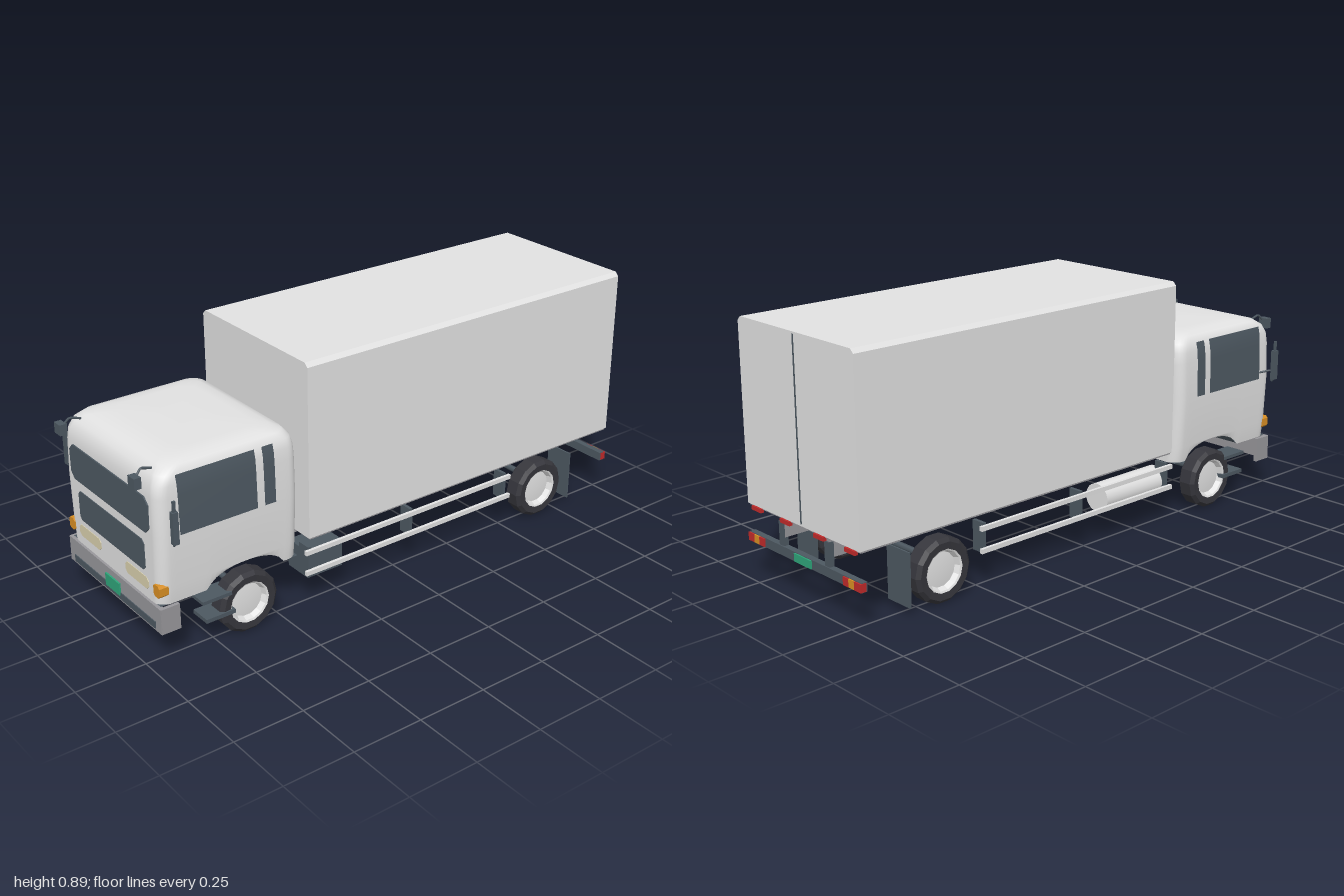
import * as THREE from 'three';
import { toCreasedNormals } from 'three/addons/utils/BufferGeometryUtils.js';

const mat = (name, color, side = THREE.FrontSide) => new THREE.MeshStandardMaterial({ name, color, side });

export function createModel() {
  const white = mat('white paint', 0xe2e2e2);
  const grey = mat('frame grey', 0x98979b);
  const dark = mat('dark slate', 0x4d5861, THREE.DoubleSide);
  const rubber = mat('rubber', 0x36363c);
  const amber = mat('amber', 0xd98f24);
  const red = mat('red', 0xc02a2a);
  const green = mat('green', 0x2fa57a);
  const cream = mat('headlight cream', 0xd9d0ae);

  const truck = new THREE.Group();
  truck.name = 'boxTruck';
  const add = (name, geo, material, x = 0, y = 0, z = 0) => {
    const m = new THREE.Mesh(geo, material);
    m.name = name;
    m.position.set(x, y, z);
    truck.add(m);
    return m;
  };
  // box given by its extents
  const box = (name, material, x0, x1, y0, y1, z0, z1) =>
    add(name, new THREE.BoxGeometry(Math.abs(x1 - x0), y1 - y0, z1 - z0), material, (x0 + x1) / 2, (y0 + y1) / 2, (z0 + z1) / 2);
  // extruded rectangle with cut corners
  const chamfered = (w, h, c, depth, cBottom = c) => {
    const a = w / 2, b = h / 2;
    const pts = [[-a + cBottom, -b], [a - cBottom, -b], [a, -b + cBottom], [a, b - c], [a - c, b], [-a + c, b], [-a, b - c], [-a, -b + cBottom]];
    const shape = new THREE.Shape(pts.map(p => new THREE.Vector2(...p)));
    return new THREE.ExtrudeGeometry(shape, { depth, bevelEnabled: false });
  };
  const rod = (name, material, r, ...pts) => {
    const path = new THREE.CurvePath();
    const v = pts.map(p => new THREE.Vector3(...p));
    for (let i = 1; i < v.length; i++) path.add(new THREE.LineCurve3(v[i - 1], v[i]));
    return add(name, new THREE.TubeGeometry(path, (v.length - 1) * 4, r, 6), material);
  };

  // ---- Cab: rounded rectangles stacked in y [y, half width, front z, back z, corner radius]
  const levels = [
    [0.21, 0.284, 0.955, 0.43, 0.04], [0.27, 0.292, 0.955, 0.43, 0.04], [0.45, 0.3, 0.955, 0.43, 0.04],
    [0.58, 0.296, 0.953, 0.43, 0.04], [0.62, 0.293, 0.947, 0.432, 0.04], [0.65, 0.286, 0.932, 0.437, 0.045],
    [0.67, 0.268, 0.905, 0.452, 0.05], [0.68, 0.24, 0.87, 0.48, 0.06], [0.685, 0.2, 0.82, 0.52, 0.06],
  ];
  const arch = z => 0.21 + 0.055 * Math.sqrt(Math.max(0, 1 - ((z - 0.635) / 0.14) ** 2));
  const ring = ([y, hw, zf, zb, r], first) => {
    const out = [];
    const corner = (cx, cz, start) => {
      for (let k = 0; k <= 6; k++) {
        const a = start + (k / 6) * Math.PI / 2;
        out.push([cx + r * Math.cos(a), cz - r * Math.sin(a)]);
      }
    };
    const side = (x, z0, z1) => {
      for (let k = 1; k < 24; k++) out.push([x, z0 + (z1 - z0) * k / 24]);
    };
    corner(hw - r, zb + r, 0);
    corner(-hw + r, zb + r, Math.PI / 2);
    side(-hw, zb + r, zf - r);
    corner(-hw + r, zf - r, Math.PI);
    corner(hw - r, zf - r, Math.PI * 1.5);
    side(hw, zf - r, zb + r);
    return out.map(([x, z]) => [x, first ? arch(z) : y, z]);
  };
  const rings = levels.map((l, i) => ring(l, i === 0));
  const n = rings[0].length;
  const index = [];
  for (let j = 0; j < n; j++) {
    const k = (j + 1) % n;
    for (let i = 0; i < levels.length - 1; i++) {
      const a = i * n + j, b = i * n + k;
      index.push(a, b, b + n, a, b + n, a + n);
    }
    const top = (levels.length - 1) * n;
    index.push(top + j, top + k, top + n);
  }
  const cabGeo = new THREE.BufferGeometry();
  cabGeo.setAttribute('position', new THREE.Float32BufferAttribute([...rings.flat(2), 0, 0.688, 0.67], 3));
  cabGeo.setIndex(index);
  cabGeo.computeVertexNormals();
  add('cabBody', cabGeo, white);

  // dark floor of the cab, arched over the front wheels
  const floor = new THREE.PlaneGeometry(0.565, 0.52, 1, 32).rotateX(Math.PI / 2).translate(0, 0, 0.692);
  const fp = floor.attributes.position;
  for (let i = 0; i < fp.count; i++) fp.setY(i, arch(fp.getZ(i)) + 0.001);
  floor.computeVertexNormals();
  add('cabUnderside', floor, dark);

  // front face details
  add('windscreen', chamfered(0.495, 0.125, 0.022, 0.005), dark, 0, 0.513, 0.953);
  add('frontGrille', chamfered(0.418, 0.108, 0.012, 0.005), dark, 0, 0.362, 0.953);

  // front bumper: face and returning ends
  box('frontBumper', grey, -0.296, 0.296, 0.118, 0.208, 0.945, 0.962);
  box('bumperSlot', dark, -0.262, 0.262, 0.126, 0.151, 0.96, 0.965);
  box('frontPlate', green, -0.045, 0.045, 0.14, 0.185, 0.96, 0.968);

  // ---- Cargo box
  add('cargoBox', chamfered(0.6, 0.622, 0.014, 1.39, 0.001), white, 0, 0.578, -0.995);
  box('cargoFloor', grey, -0.296, 0.296, 0.261, 0.268, -0.99, 0.39);
  box('rearDoorSeam', dark, -0.002, 0.002, 0.275, 0.882, -0.998, -0.994);

  // ---- Wheels
  const lathe = pts => toCreasedNormals(
    new THREE.LatheGeometry(pts.map(p => new THREE.Vector2(...p)), 14).rotateZ(-Math.PI / 2), 0.3);
  const tyre = lathe([[0.074, -0.034], [0.098, -0.036], [0.111, -0.024], [0.111, 0.024], [0.098, 0.036], [0.074, 0.034]]);
  const rim = lathe([[0, -0.018], [0.06, -0.012], [0.068, -0.03], [0.077, -0.034], [0.077, 0.034], [0.068, 0.03], [0.06, 0.012], [0, 0.018]]);
  for (const z of [0.63, -0.665]) rod('axle', dark, 0.011, [-0.25, 0.135, z], [0.25, 0.135, z]);

  // ---- Mirrored parts
  for (const s of [-1, 1]) {
    for (const z of [0.63, -0.665]) {
      add('tyre', tyre, rubber, s * 0.259, 0.111, z);
      add('wheelRim', rim, white, s * 0.259, 0.111, z);
    }
    // side windows bent to the cab wall
    for (const [name, z0, z1] of [['doorWindow', 0.595, 0.88], ['quarterWindow', 0.525, 0.567]]) {
      const g = new THREE.PlaneGeometry(z1 - z0, 1, 1, 3).rotateY(s * Math.PI / 2).translate(0, 0, (z0 + z1) / 2);
      const rows = [levels[5], levels[4], levels[3], levels[2]];
      const p = g.attributes.position;
      for (let i = 0; i < p.count; i++) {
        const [y, hw] = rows[i >> 1];
        p.setXYZ(i, s * (hw + 0.003), y, p.getZ(i));
      }
      g.computeVertexNormals();
      add(name, g, dark);
    }
    // lamps and bumper ends
    add('headlight', chamfered(0.144, 0.043, 0.012, 0.004), cream, s * 0.151, 0.265, 0.953);
    add('cornerLamp', chamfered(0.036, 0.043, 0.008, 0.034), amber, s * 0.273, 0.265, 0.925);
    box('bumperEnd', grey, s * 0.284, s * 0.297, 0.118, 0.208, 0.892, 0.96);

    // door mirrors
    box('doorMirror', dark, s * 0.331, s * 0.349, 0.45, 0.56, 0.91, 0.93);
    box('doorMirrorStem', dark, s * 0.337, s * 0.344, 0.55, 0.596, 0.915, 0.925);
    rod('doorMirrorArm', dark, 0.004, [s * 0.295, 0.472, 0.885], [s * 0.335, 0.485, 0.915], [s * 0.328, 0.437, 0.92], [s * 0.345, 0.455, 0.92]);
    // roof-edge mirrors
    box('frontMirror', dark, s * 0.216, s * 0.254, 0.62, 0.658, 0.975, 1.0);
    rod('frontMirrorArm', dark, 0.004, [s * 0.222, 0.66, 0.92], [s * 0.224, 0.672, 0.96], [s * 0.23, 0.65, 0.98]);

    // cab steps
    box('upperStep', dark, s * 0.22, s * 0.298, 0.168, 0.18, 0.7, 0.81);
    box('lowerStep', dark, s * 0.22, s * 0.3, 0.098, 0.112, 0.69, 0.8);

    // chassis rail and side guards
    box('chassisRail', grey, s * 0.108, s * 0.132, 0.197, 0.263, -0.985, 0.51);
    box('upperGuardRail', white, s * 0.285, s * 0.297, 0.203, 0.219, -0.51, 0.405);
    box('lowerGuardRail', white, s * 0.285, s * 0.297, 0.126, 0.142, -0.51, 0.405);
    for (const z of [0.385, -0.05, -0.49]) box('guardPost', dark, s * 0.235, s * 0.286, 0.122, 0.226, z - 0.006, z + 0.006);

    // mud flap, rear bar post and lamps
    box('mudFlap', dark, s * 0.19, s * 0.3, 0.03, 0.215, -0.812, -0.806);
    box('rearBarPost', dark, s * 0.11, s * 0.135, 0.16, 0.25, -0.99, -0.972);
    [[red, 0.268, 0.3], [amber, 0.24, 0.268], [red, 0.212, 0.24]].forEach(([m, a, b]) =>
      box('rearLamp', m, s * a, s * b, 0.138, 0.166, -0.999, -0.992));
    box('rearBarEnd', red, s * 0.299, s * 0.302, 0.138, 0.166, -0.999, -0.978);
    for (const x of [0.09, 0.25]) box('rearMarker', red, s * (x - 0.026), s * (x + 0.026), 0.25, 0.264, -0.998, -0.985);
  }

  // ---- Rear bar, battery box and fuel tank
  box('rearBar', dark, -0.3, 0.3, 0.136, 0.168, -0.994, -0.972);
  box('rearPlate', green, -0.045, 0.045, 0.138, 0.166, -0.999, -0.993);
  box('batteryBox', dark, 0.168, 0.278, 0.105, 0.205, 0.245, 0.388);
  add('fuelTank', toCreasedNormals(new THREE.CylinderGeometry(0.052, 0.052, 0.3, 24).rotateX(Math.PI / 2), 0.6), white, -0.22, 0.148, 0.245);

  return truck;
}
